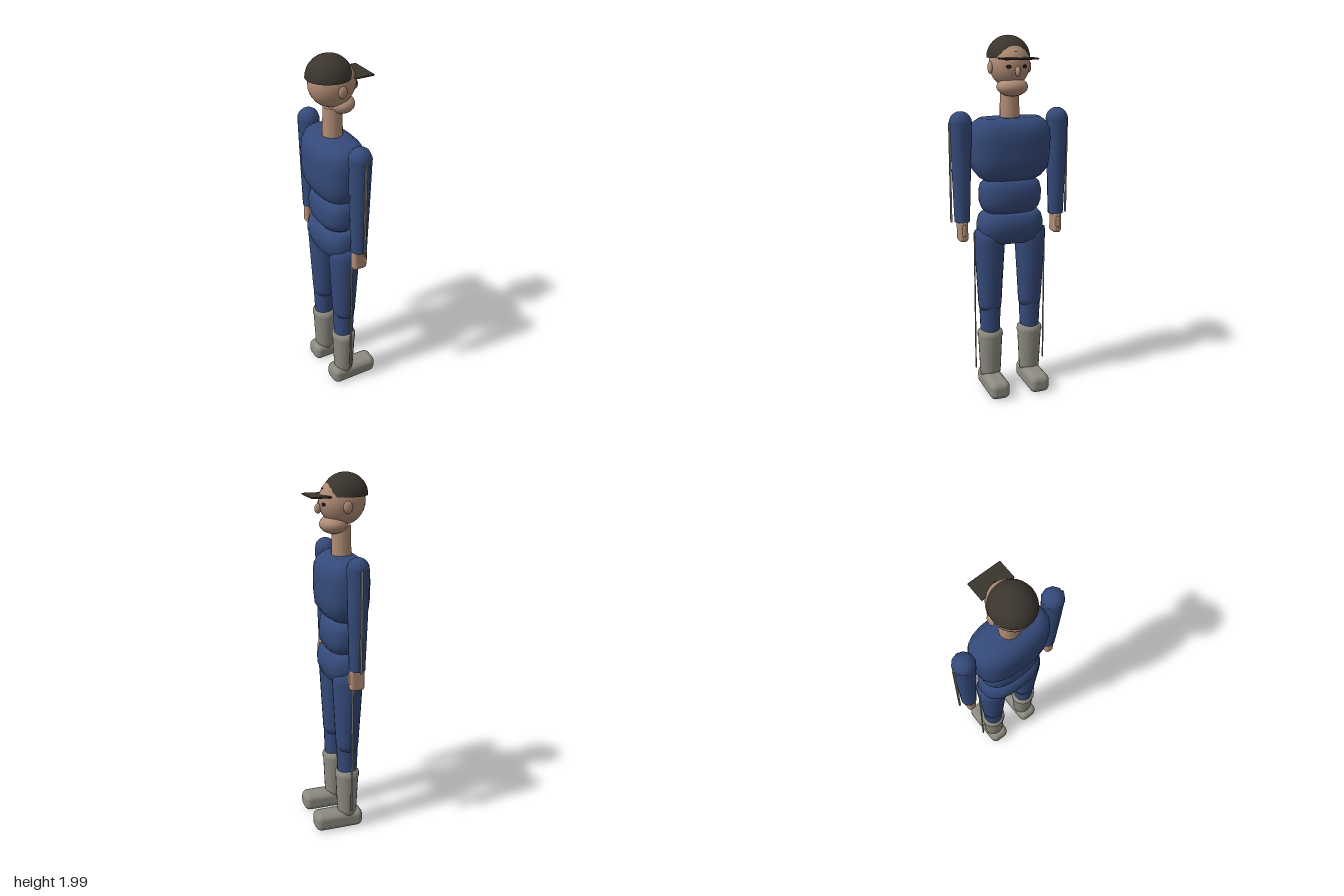
import * as THREE from 'three';
import { RoundedBoxGeometry } from 'three/addons/geometries/RoundedBoxGeometry.js';

const mat = (name, color) => {
  const m = new THREE.MeshStandardMaterial({ color, side: THREE.DoubleSide });
  m.name = name;
  return m;
};

// Closed loft through rings [y, cx, rx, rz], listed bottom to top; n squares the section.
function loft(rings, n = 2, seg = 20) {
  const pos = [], idx = [];
  const bend = v => Math.sign(v) * Math.pow(Math.abs(v), 2 / n);
  for (const [y, cx, rx, rz] of rings) {
    for (let i = 0; i < seg; i++) {
      const a = (i / seg) * Math.PI * 2;
      pos.push(cx + rx * bend(Math.cos(a)), y, rz * bend(Math.sin(a)));
    }
  }
  for (let r = 0; r < rings.length - 1; r++) {
    for (let i = 0; i < seg; i++) {
      const a = r * seg + i, b = r * seg + (i + 1) % seg;
      idx.push(a, a + seg, b, b, a + seg, b + seg);
    }
  }
  const last = rings.length - 1;
  const low = pos.length / 3;
  pos.push(rings[0][1], rings[0][0], 0, rings[last][1], rings[last][0], 0);
  for (let i = 0; i < seg; i++) {
    const j = (i + 1) % seg;
    idx.push(low, i, j, low + 1, last * seg + j, last * seg + i);
  }
  const g = new THREE.BufferGeometry();
  g.setAttribute('position', new THREE.Float32BufferAttribute(pos, 3));
  g.setIndex(idx);
  g.computeVertexNormals();
  return g;
}

const ellipsoid = (rx, ry, rz) => new THREE.SphereGeometry(1, 24, 16).scale(rx, ry, rz);

export function createModel() {
  const root = new THREE.Group();
  const blue = mat('blue cloth', 0x354a7a);
  const grey = mat('grey boot', 0x8c8a80);
  const skin = mat('skin', 0xb08c75);
  const dark = mat('dark cap', 0x3b352e);
  const black = mat('eye black', 0x1c1816);

  const add = (name, geo, material, x = 0, y = 0, z = 0, parent = root) => {
    const m = new THREE.Mesh(geo, material);
    m.name = name;
    m.position.set(x, y, z);
    parent.add(m);
    return m;
  };

  // Torso
  add('chest', loft([
    [1.235, -0.03, 0.07, 0.14], [1.255, -0.03, 0.10, 0.175], [1.30, -0.028, 0.126, 0.212],
    [1.36, -0.028, 0.132, 0.22], [1.46, -0.028, 0.132, 0.225], [1.51, -0.028, 0.127, 0.22],
    [1.55, -0.028, 0.105, 0.205], [1.575, -0.028, 0.07, 0.17]], 2.6), blue);
  add('waist', loft([
    [1.055, -0.027, 0.075, 0.13], [1.08, -0.027, 0.095, 0.16], [1.12, -0.027, 0.107, 0.174],
    [1.18, -0.027, 0.107, 0.175], [1.22, -0.027, 0.095, 0.165], [1.25, -0.027, 0.065, 0.13]], 2.5), blue);
  add('pelvis', loft([
    [0.885, -0.027, 0.07, 0.155], [0.91, -0.027, 0.098, 0.172], [0.96, -0.027, 0.116, 0.188],
    [1.0, -0.027, 0.117, 0.186], [1.04, -0.027, 0.108, 0.176], [1.06, -0.027, 0.085, 0.16]], 2.5), blue);

  // Head
  add('neck', new THREE.CylinderGeometry(0.05, 0.054, 0.18, 16), skin, -0.03, 1.64);
  add('head', ellipsoid(0.125, 0.125, 0.106), skin, -0.033, 1.855);
  add('jaw', ellipsoid(0.074, 0.05, 0.084), skin, 0.013, 1.737);
  add('nose', ellipsoid(0.018, 0.026, 0.014), skin, 0.097, 1.82);
  add('browMark', new THREE.BoxGeometry(0.008, 0.004, 0.014), black, 0.072, 1.921);
  for (const s of [1, -1]) {
    add('ear', ellipsoid(0.025, 0.032, 0.012), skin, -0.03, 1.835, s * 0.108);
    const eye = add('eye', ellipsoid(0.005, 0.009, 0.014), black, 0.08, 1.845, s * 0.044);
    eye.rotation.y = -s * 0.45;
  }

  // Cap
  add('capDome', new THREE.SphereGeometry(1, 28, 10, 0, Math.PI * 2, 0, Math.PI / 2)
    .scale(0.12, 0.115, 0.115), dark, -0.05, 1.885);
  add('capVisor', new RoundedBoxGeometry(0.107, 0.009, 0.186, 2, 0.004), dark, 0.1035, 1.886);

  // Arms and legs, mirrored across z
  for (const s of [1, -1]) {
    const arm = new THREE.Group();
    arm.name = s > 0 ? 'rearSideArm' : 'frontSideArm';
    arm.name = s > 0 ? 'armPlusZ' : 'armMinusZ';
    arm.position.set(-0.027, 0, s * 0.275);
    root.add(arm);
    add('shoulder', new THREE.SphereGeometry(0.061, 10, 10), blue, 0, 1.555, 0, arm);
    add('upperArm', new THREE.CylinderGeometry(0.06, 0.051, 0.31, 12), blue, 0, 1.4, 0, arm);
    add('elbow', new THREE.SphereGeometry(0.051, 12, 10), blue, 0, 1.25, 0, arm);
    add('forearm', new THREE.CylinderGeometry(0.051, 0.043, 0.235, 12), blue, 0, 1.138, 0, arm);
    add('hand', new RoundedBoxGeometry(0.08, 0.12, 0.05, 3, 0.018), skin, 0.002, 0.97, 0, arm);
    add('thumb', new THREE.CapsuleGeometry(0.013, 0.04, 4, 8), skin, 0.037, 0.975, 0, arm);
    add('sleeveStripe', new THREE.BoxGeometry(0.01, 0.54, 0.009), grey, 0, 1.29, s * 0.061, arm);

    const leg = new THREE.Group();
    leg.name = s > 0 ? 'legPlusZ' : 'legMinusZ';
    leg.position.set(-0.027, 0, s * 0.12);
    root.add(leg);
    add('thigh', loft([
      [0.5, 0, 0.058, 0.062], [0.53, 0, 0.063, 0.066], [0.7, 0, 0.073, 0.075],
      [0.9, 0, 0.084, 0.087], [0.945, 0, 0.082, 0.086], [0.975, 0, 0.055, 0.06]]), blue, 0, 0, 0, leg);
    add('shin', new THREE.CylinderGeometry(0.061, 0.054, 0.2, 16), blue, 0, 0.425, 0, leg);
    add('bootShaft', loft([
      [0.08, 0, 0.05, 0.055], [0.12, 0, 0.055, 0.06], [0.32, 0, 0.064, 0.069],
      [0.33, 0, 0.068, 0.073], [0.355, 0, 0.067, 0.072], [0.372, 0, 0.05, 0.055]]), grey, 0, 0, 0, leg);
    add('shoe', new RoundedBoxGeometry(0.278, 0.103, 0.116, 4, 0.035), grey, 0.055, 0.06, 0, leg);
    add('trouserStripe', new THREE.BoxGeometry(0.01, 0.81, 0.005), grey, 0, 0.545, s * 0.087, leg);
  }
  return root;
}
